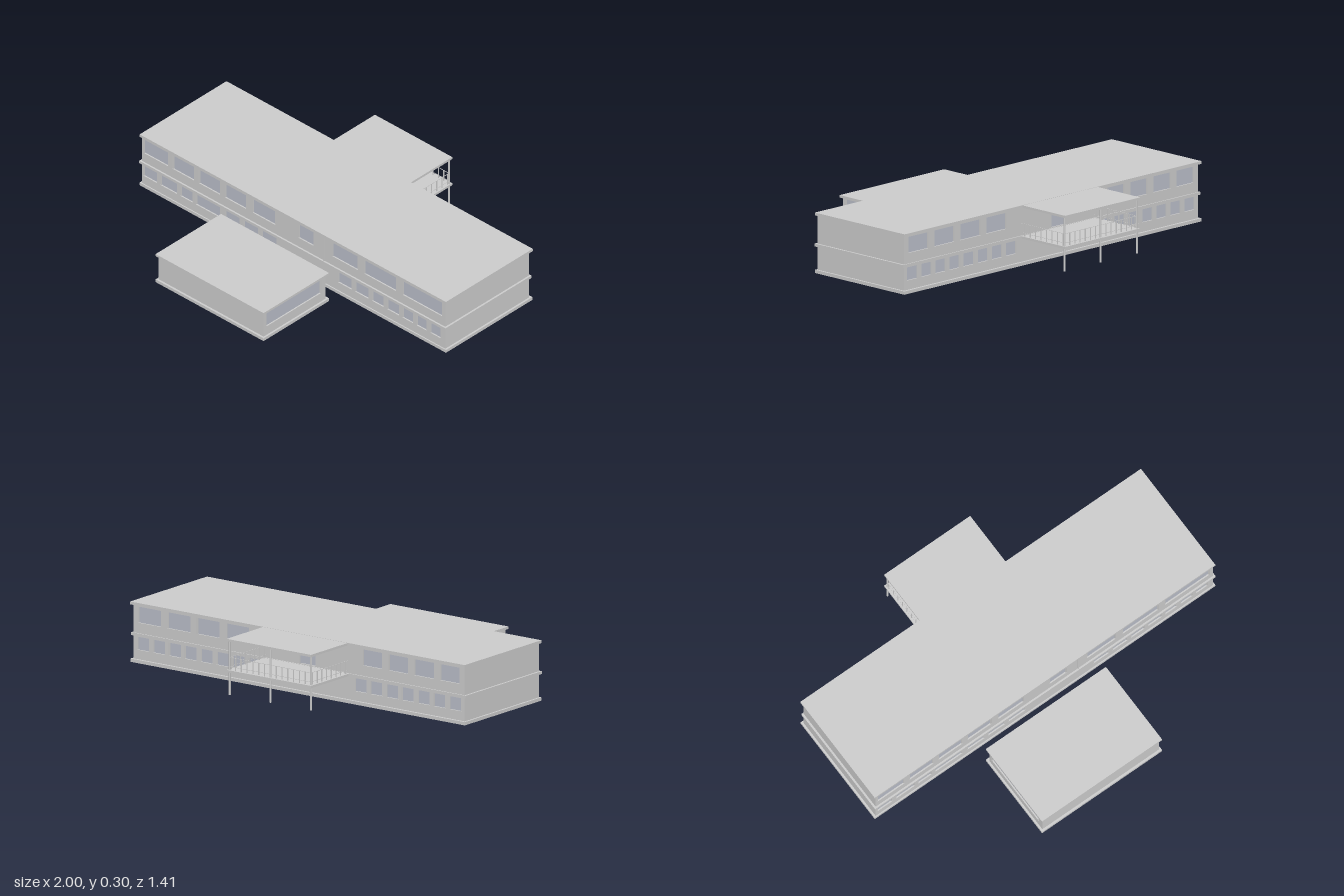
import * as THREE from 'three';

const grey = new THREE.MeshStandardMaterial({ color: 0xcccccc });
const glassMat = new THREE.MeshStandardMaterial({ color: 0xb9bdc8 });
const T = 0.012; // wall thickness

// Box given by its limits on each axis
function block(parent, name, [x0, x1], [y0, y1], [z0, z1], mat = grey) {
  const mesh = new THREE.Mesh(new THREE.BoxGeometry(x1 - x0, y1 - y0, z1 - z0), mat);
  mesh.position.set((x0 + x1) / 2, (y0 + y1) / 2, (z0 + z1) / 2);
  mesh.name = name;
  parent.add(mesh);
  return mesh;
}

function rect(path, x0, x1, y0, y1) {
  path.moveTo(x0, y0);
  path.lineTo(x1, y0);
  path.lineTo(x1, y1);
  path.lineTo(x0, y1);
  path.closePath();
  return path;
}

// Wall in the xy plane, outer face at z = 0, with glazed openings [x0, x1, y0, y1]
function wall(name, x0, x1, y0, y1, openings = []) {
  const g = new THREE.Group();
  g.name = name;
  const shape = rect(new THREE.Shape(), x0, x1, y0, y1);
  for (const o of openings) shape.holes.push(rect(new THREE.Path(), ...o));
  const geo = new THREE.ExtrudeGeometry(shape, { depth: T, bevelEnabled: false });
  geo.translate(0, 0, -T);
  const panel = new THREE.Mesh(geo, grey);
  panel.name = 'wallPanel';
  g.add(panel);
  for (const [a, b, c, d] of openings) {
    block(g, 'windowGlass', [a, b], [c, d], [-0.009, -0.007], glassMat);
    // slim frame posts at both sides of the pane
    for (const x of [a + 0.002, b - 0.002])
      block(g, 'windowFrame', [x - 0.002, x + 0.002], [c, d], [-0.01, -0.002]);
  }
  return g;
}

const panes = (spans, y0, y1) => spans.map(([a, b]) => [a, b, y0, y1]);

// Row of equal panes between two limits
function row(x0, x1, n, gap) {
  const w = (x1 - x0) / n;
  return Array.from({ length: n }, (_, i) => [x0 + i * w + gap / 2, x0 + (i + 1) * w - gap / 2]);
}

function place(parent, obj, x, z, ry = 0) {
  obj.position.set(x, 0, z);
  obj.rotation.y = ry;
  parent.add(obj);
}

function mainBuilding() {
  const g = new THREE.Group();
  g.name = 'mainBuilding';
  // ground, middle and roof slabs
  block(g, 'groundSlab', [-1, 1], [0, 0.016], [-0.418, 0.18]);
  block(g, 'middleSlab', [-1, 1], [0.13, 0.144], [-0.412, 0.183]);
  block(g, 'roofSlab', [-1, 1], [0.282, 0.296], [-0.42, 0.18]);

  const upperFront = [[-0.98, -0.82], [-0.79, -0.65], [-0.62, -0.48], [-0.45, -0.31],
    [-0.27, -0.12], [0.03, 0.13], [0.25, 0.42], [0.46, 0.67], [0.71, 0.97]];
  const lowerFront = [[-0.98, -0.89], [-0.87, -0.76], [-0.74, -0.66], [-0.64, -0.48],
    ...row(-0.46, -0.1, 3, 0.02), ...row(0.28, 0.5, 2, 0.02), ...row(0.5, 0.7, 2, 0.02), ...row(0.7, 0.97, 3, 0.02)];
  const upperBack = [...row(-0.98, -0.36, 4, 0.035), ...row(0.28, 0.98, 4, 0.035)];
  const lowerBack = [...row(-0.98, -0.32, 7, 0.02), ...row(0.22, 0.98, 8, 0.02)];

  const storeys = [
    ['lower', 0.016, 0.13, panes(lowerFront, 0.062, 0.126), panes(lowerBack, 0.062, 0.126)],
    ['upper', 0.144, 0.282, panes(upperFront, 0.195, 0.274),
      [...panes(upperBack, 0.195, 0.274), [-0.1, 0.0, 0.148, 0.25]]],
  ];
  for (const [floor, y0, y1, front, back] of storeys) {
    place(g, wall(floor + 'FrontWall', -0.99, 0.99, y0, y1, front), 0, 0.174);
    // the back wall is turned round, so its openings are mirrored
    const turned = back.map(([a, b, c, d]) => [-b, -a, c, d]);
    place(g, wall(floor + 'BackWall', -0.99, 0.99, y0, y1, turned), 0, -0.406, Math.PI);
    for (const s of [-1, 1])
      place(g, wall(floor + 'EndWall', -0.29 + T, 0.29 - T, y0, y1), s * 0.99, -0.116, s * Math.PI / 2);
  }
  block(g, 'facadeDivider', [0.196, 0.202], [0.144, 0.282], [0.172, 0.178]);
  return g;
}

function terrace() {
  const g = new THREE.Group();
  g.name = 'terrace';
  block(g, 'terraceFloor', [-0.3, 0.205], [0.131, 0.143], [-0.705, -0.25]);
  block(g, 'terraceRoof', [-0.3, 0.205], [0.283, 0.295], [-0.705, -0.41]);

  // columns along the outer edge
  for (const x of [-0.29, -0.047, 0.196]) {
    const col = new THREE.Mesh(new THREE.CylinderGeometry(0.005, 0.005, 0.265, 12), grey);
    col.position.set(x, 0.152, -0.692);
    col.name = 'column';
    g.add(col);
  }

  // railing on three sides
  const rail = new THREE.Group();
  rail.name = 'railing';
  const post = (x, z) => block(rail, 'railPost', [x - 0.002, x + 0.002], [0.143, 0.204], [z - 0.002, z + 0.002]);
  for (let i = 0; i <= 14; i++) post(-0.29 + (0.486 * i) / 14, -0.692);
  for (const x of [-0.29, 0.196])
    for (let i = 0; i < 8; i++) post(x, -0.425 - 0.0365 * i);
  for (const y of [0.157, 0.202]) {
    block(rail, 'railBar', [-0.29, 0.196], [y, y + 0.002], [-0.693, -0.691]);
    for (const x of [-0.29, 0.196])
      block(rail, 'railBar', [x - 0.001, x + 0.001], [y, y + 0.002], [-0.692, -0.406]);
  }
  g.add(rail);
  return g;
}

function annex() {
  const g = new THREE.Group();
  g.name = 'annex';
  block(g, 'annexFloor', [-0.4, 0.305], [0, 0.016], [0.252, 0.705]);
  block(g, 'annexRoof', [-0.4, 0.305], [0.151, 0.163], [0.252, 0.705]);
  const [y0, y1] = [0.016, 0.151];
  place(g, wall('annexFrontWall', -0.39, 0.295, y0, y1), 0, 0.694);
  place(g, wall('annexBackWall', -0.295, 0.39, y0, y1, [[-0.05, 0.05, 0.018, 0.125]]), 0, 0.266, Math.PI);
  // side walls, each with one wide window
  for (const [x, s] of [[0.295, 1], [-0.39, -1]])
    place(g, wall('annexSideWall', -0.214 + T, 0.214 - T, y0, y1, [[-0.195, 0.185, 0.065, 0.146]]),
      x, 0.48, s * Math.PI / 2);
  return g;
}

export function createModel() {
  const model = new THREE.Group();
  model.name = 'twoStoreyBuilding';
  model.add(mainBuilding(), terrace(), annex());
  return model;
}
